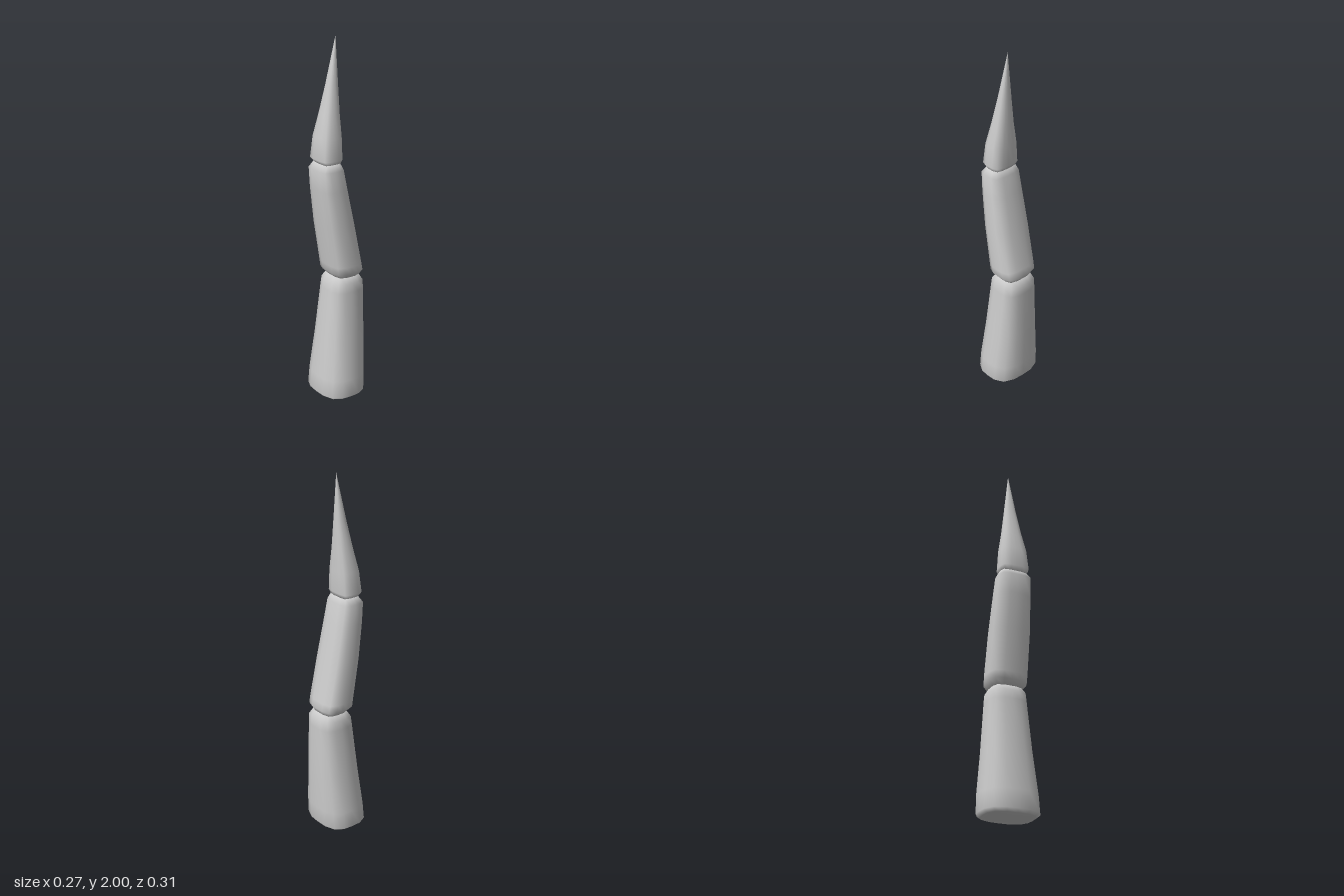
import * as THREE from 'three';

const SIDES = 16;

// Lofts rounded-square rings [y, xMin, xMax, halfDepth, squareness]; zero-size rings close the ends.
function segment(name, rings) {
  const pos = [], idx = [];
  for (const [y, x0, x1, hz, p] of rings) {
    for (let i = 0; i < SIDES; i++) {
      const a = (i / SIDES) * Math.PI * 2, c = Math.cos(a), s = Math.sin(a);
      const r = 1 / Math.pow(Math.abs(c) ** p + Math.abs(s) ** p, 1 / p);
      pos.push((x0 + x1) / 2 + c * r * (x1 - x0) / 2, y, s * r * hz);
    }
  }
  for (let j = 0; j < rings.length - 1; j++) {
    for (let i = 0; i < SIDES; i++) {
      const a = j * SIDES + i, b = j * SIDES + (i + 1) % SIDES;
      const c = a + SIDES, d = b + SIDES;
      if (rings[j][3] > 0) idx.push(a, d, b);
      if (rings[j + 1][3] > 0) idx.push(a, c, d);
    }
  }
  const geo = new THREE.BufferGeometry();
  geo.setAttribute('position', new THREE.Float32BufferAttribute(pos, 3));
  geo.setIndex(idx);
  geo.computeVertexNormals();
  const mesh = new THREE.Mesh(geo, new THREE.MeshStandardMaterial({ color: 0xcccccc }));
  mesh.name = name;
  return mesh;
}

export function createModel() {
  const group = new THREE.Group();
  group.name = 'segmentedClaw';

  // Wide lower segment, leaning towards +x
  group.add(segment('lowerSegment', [
    [0, 0, 0, 0, 3],
    [0.005, -0.115, 0.105, 0.135, 3],
    [0.022, -0.136, 0.125, 0.156, 3],
    [0.12, -0.128, 0.13, 0.152, 3],
    [0.35, -0.098, 0.134, 0.127, 3.2],
    [0.62, -0.065, 0.134, 0.105, 3.6],
    [0.67, -0.056, 0.13, 0.1, 4],
    [0.705, -0.032, 0.108, 0.08, 4],
    [0.715, 0.04, 0.04, 0, 4],
  ]));

  // Middle segment, leaning back towards -x
  group.add(segment('middleSegment', [
    [0.69, 0.04, 0.04, 0, 4],
    [0.7, -0.032, 0.108, 0.082, 4],
    [0.73, -0.06, 0.125, 0.107, 4],
    [0.77, -0.064, 0.116, 0.109, 4],
    [1.0, -0.1, 0.068, 0.107, 4],
    [1.2, -0.125, 0.027, 0.098, 4],
    [1.31, -0.132, 0.004, 0.091, 4.5],
    [1.345, -0.106, -0.012, 0.073, 5],
    [1.355, -0.06, -0.06, 0, 5],
  ]));

  // Pointed tip with a straight +x edge
  group.add(segment('tip', [
    [1.33, -0.06, -0.06, 0, 5],
    [1.34, -0.106, -0.012, 0.07, 5],
    [1.365, -0.126, -0.001, 0.081, 5],
    [1.48, -0.114, 0, 0.073, 4.5],
    [1.6, -0.089, 0, 0.053, 3.5],
    [1.75, -0.057, 0, 0.033, 2.8],
    [2.0, -0.005, -0.005, 0, 2],
  ]));

  return group;
}
